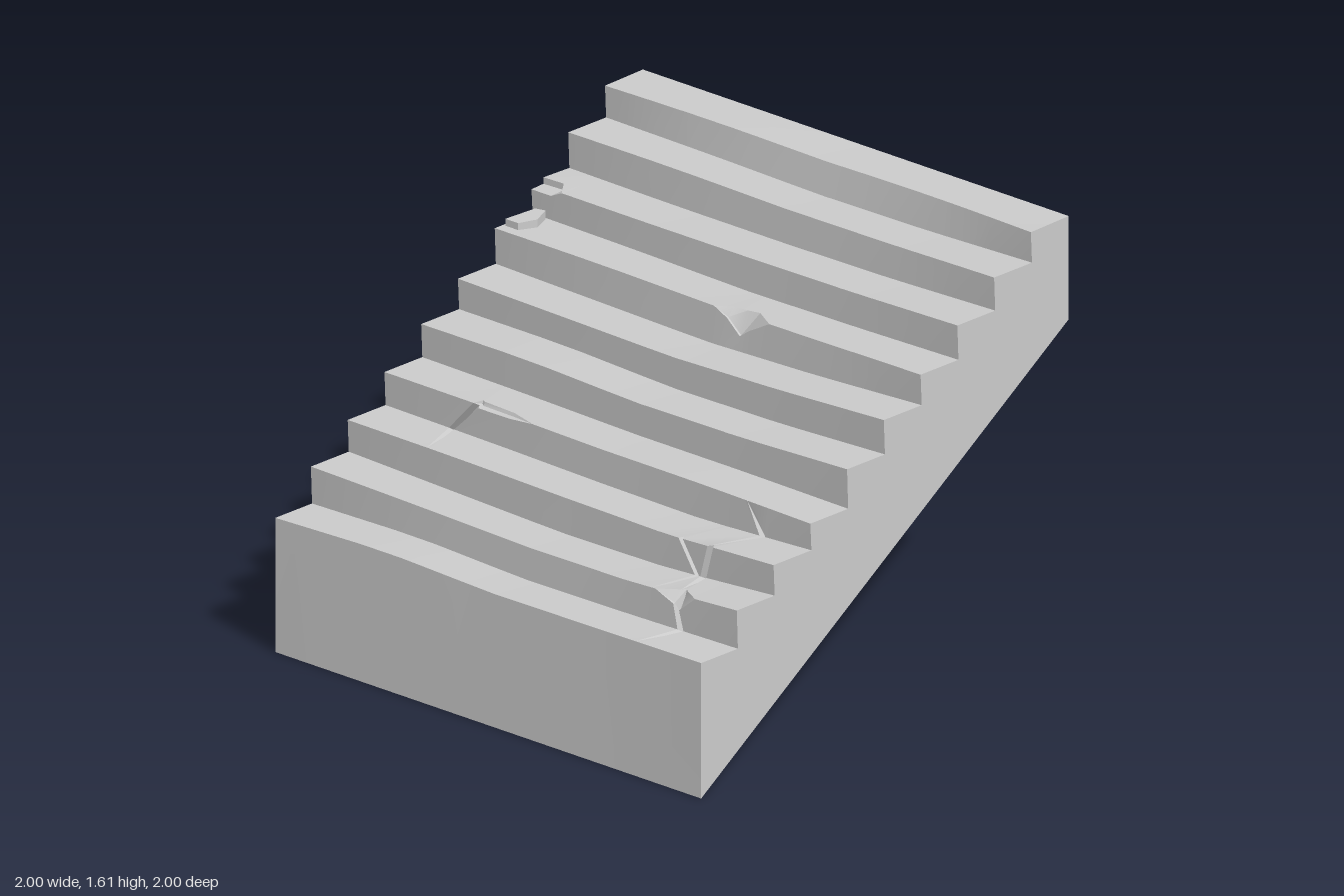
import * as THREE from 'three';
import { toCreasedNormals } from 'three/addons/utils/BufferGeometryUtils.js';

const STEPS = 10, DEPTH = 0.2;

// worn nose height of each step at x = -1, -0.5, 0, 0.5, 1
const NOSE = [
  [0.52, 0.53, 0.51, 0.515, 0.525], [0.655, 0.64, 0.625, 0.63, 0.665],
  [0.77, 0.765, 0.755, 0.75, 0.775], [0.89, 0.885, 0.875, 0.875, 0.87],
  [1.01, 1.01, 0.99, 0.995, 1.015], [1.12, 1.11, 1.1, 1.115, 1.14],
  [1.25, 1.245, 1.235, 1.24, 1.25], [1.36, 1.355, 1.355, 1.36, 1.375],
  [1.49, 1.485, 1.475, 1.48, 1.495], [1.605, 1.6, 1.59, 1.6, 1.605],
];
// how far the middle of each nose is worn back
const WEAR = [0.012, 0.012, 0.006, 0.008, 0.004, 0.004, 0.012, 0.008, 0.014, 0.028];

function noseY(step, x) {
  const t = (x + 1) * 2, k = Math.min(3, Math.floor(t));
  return THREE.MathUtils.lerp(NOSE[step][k], NOSE[step][k + 1], t - k);
}

// One lengthwise slice. Options:
//  chips: step -> [drop down the riser, bite into the tread, ledge fraction]
//  nose / base: step -> x of the slice at that edge (slanting cracks)
//  sink: depth of the crack along those edges
function slice(x, { chips = {}, nose = {}, base = {}, sink = 0 } = {}) {
  const pts = [];
  for (let i = 0; i < STEPS; i++) {
    const z0 = 1 - i * DEPTH;
    const bx = base[i] ?? x, nx = nose[i] ?? x;
    const bs = base[i] !== undefined ? sink : 0, ns = nose[i] !== undefined ? sink : 0;
    const y = noseY(i, nx);
    const z = z0 + (i ? 0.006 : 0) - WEAR[i] * (1 - nx * nx) - ns;
    const [drop, bite, ledge] = chips[i] ?? [0, 0, 0];
    const by = i ? noseY(i - 1, bx) - 0.01 - bs * 0.7 : 0;
    pts.push(
      new THREE.Vector3(i ? bx : x, by, z0 - bs),
      new THREE.Vector3(nx, y - drop, z),
      new THREE.Vector3(nx, y - drop, z - bite * ledge),
      new THREE.Vector3(nx, y, z - bite),
    );
  }
  pts.push(new THREE.Vector3(x, 1.6, -1), new THREE.Vector3(x, 1.2, -1));
  return pts;
}

// Three slices forming a V groove that follows the given edge positions
function crack(x, half, sink, nose, base, chips = [{}, {}, {}]) {
  const shift = (map, d) => Object.fromEntries(Object.entries(map).map(([k, v]) => [k, v + d]));
  return [-1, 0, 1].map((s, k) => slice(x + s * half, {
    nose: shift(nose, s * half), base: shift(base, s * half),
    sink: s === 0 ? sink : 0, chips: chips[k],
  }));
}

function stairGeometry() {
  const slices = [
    // broken corner on the eighth step
    slice(-1, { chips: { 7: [0.025, 0.065, 1] } }),
    slice(-0.91, { chips: { 7: [0.025, 0.07, 1] } }),
    slice(-0.86),
    slice(-0.77),
    // cracked and chipped nose on the fourth step
    ...crack(-0.62, 0.012, 0.02, { 3: -0.575 }, { 3: -0.69 },
      [{}, { 3: [0.012, 0.02, 0.8] }, { 3: [0.014, 0.035, 0.8] }]),
    slice(-0.42, { chips: { 3: [0.012, 0.03, 0.8] } }),
    slice(-0.31),
    slice(-0.15),
    // chip on the seventh step
    slice(0.02),
    slice(0.08, { chips: { 6: [0.03, 0.04, 0.2] } }),
    slice(0.14, { chips: { 6: [0.085, 0.045, 0.2] } }),
    slice(0.19, { chips: { 6: [0.05, 0.055, 0.2] } }),
    slice(0.28),
    slice(0.45),
    // forked crack running over the lower steps, with a chip on the second
    ...crack(0.6, 0.01, 0.02, { 2: 0.56 }, { 2: 0.635 }),
    ...crack(0.7, 0.014, 0.02, { 2: 0.7, 1: 0.71 }, { 3: 0.77, 2: 0.665, 1: 0.73 },
      [{ 1: [0.04, 0.045, 0.2] }, { 1: [0.085, 0.04, 0.2] }, { 1: [0.06, 0.045, 0.2] }]),
    slice(0.8),
    slice(1),
  ];

  const pos = [];
  const ab = new THREE.Vector3(), ac = new THREE.Vector3();
  const tri = (a, b, c) => {
    ab.subVectors(b, a);
    ac.subVectors(c, a);
    if (ab.cross(ac).length() > 1e-8) for (const p of [a, b, c]) pos.push(p.x, p.y, p.z);
  };

  // skin between neighbouring slices, underside included
  for (let s = 0; s < slices.length - 1; s++) {
    const a = slices[s], b = slices[s + 1], n = a.length;
    for (let j = 0; j < n; j++) {
      const k = (j + 1) % n;
      tri(a[j], b[j], b[k]);
      tri(a[j], b[k], a[k]);
    }
  }

  // flat side walls
  for (const [wall, flip] of [[slices[0], false], [slices.at(-1), true]]) {
    const loop = wall.filter((p, i) => i === 0 || p.distanceTo(wall[i - 1]) > 1e-6);
    const flat = loop.map((p) => new THREE.Vector2(p.z, p.y));
    for (const [a, b, c] of THREE.ShapeUtils.triangulateShape(flat, [])) {
      if (flip) tri(loop[a], loop[c], loop[b]);
      else tri(loop[a], loop[b], loop[c]);
    }
  }

  const geo = new THREE.BufferGeometry();
  geo.setAttribute('position', new THREE.Float32BufferAttribute(pos, 3));
  return toCreasedNormals(geo, 0.4);
}

export function createModel() {
  const group = new THREE.Group();
  group.name = 'wornStaircase';

  const stairs = new THREE.Mesh(stairGeometry(), new THREE.MeshStandardMaterial({ color: 0xcccccc }));
  stairs.name = 'stairs';
  group.add(stairs);

  // loose fragment lying on the step below the broken corner
  const outline = [[-0.99, -0.24], [-0.93, -0.24], [-0.9, -0.31], [-0.93, -0.39], [-0.97, -0.38]];
  const shape = new THREE.Shape(outline.map(([x, z]) => new THREE.Vector2(x, -z)));
  const chunk = new THREE.ExtrudeGeometry(shape, { depth: 0.034, bevelEnabled: false });
  chunk.rotateX(-Math.PI / 2);
  const fragment = new THREE.Mesh(chunk,
    new THREE.MeshStandardMaterial({ color: 0xcccccc, flatShading: true }));
  fragment.name = 'looseFragment';
  fragment.position.y = 1.24;
  group.add(fragment);

  return group;
}
